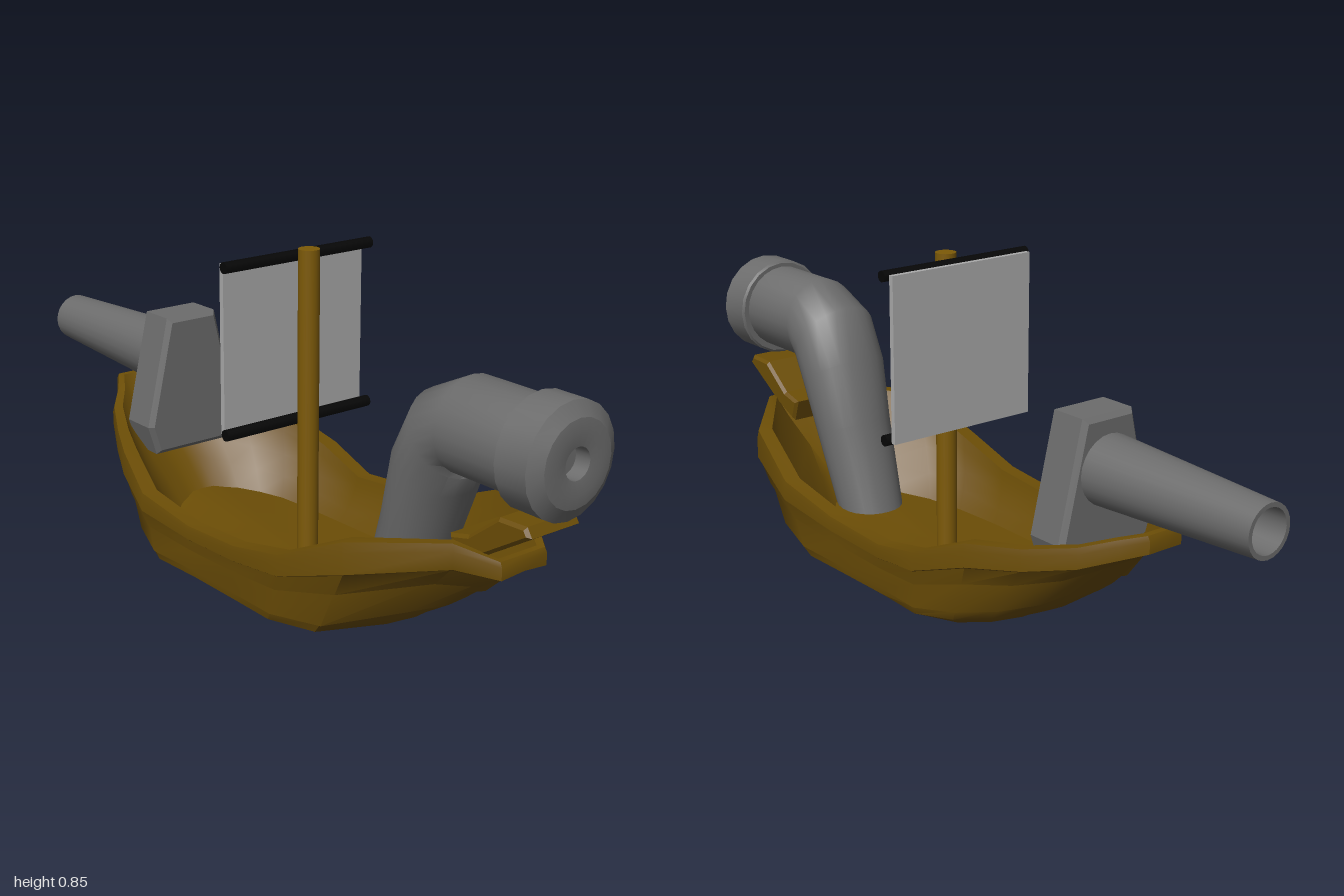
import * as THREE from 'three';
import { toCreasedNormals } from 'three/addons/utils/BufferGeometryUtils.js';

const material = (color) => new THREE.MeshStandardMaterial({ color, side: THREE.DoubleSide });
const GREY = material(0x6c6c6c);
const CLOTH = material(0xaaaaaa);
const WOOD = material(0x6b4d06);
const MAST_WOOD = material(0x7d5a08);
const BLACK = material(0x060606);
const { lerp, degToRad } = THREE.MathUtils;

function part(group, name, geometry, mat, x = 0, y = 0, z = 0) {
  const mesh = new THREE.Mesh(geometry, mat);
  mesh.name = name;
  mesh.position.set(x, y, z);
  group.add(mesh);
}

// Skins closed rings, each counter-clockwise seen from the first one's outer side
function loft(rings, crease) {
  const n = rings[0].length;
  const index = [];
  for (let i = 0; i < rings.length - 1; i++) {
    for (let j = 0; j < n; j++) {
      const k = (j + 1) % n;
      const a = i * n + j, b = i * n + k, c = a + n, d = b + n;
      index.push(a, c, b, b, c, d);
    }
  }
  const g = new THREE.BufferGeometry().setFromPoints(rings.flat());
  g.setIndex(index);
  return toCreasedNormals(g, crease);
}

// Lathe whose axis lies along z; profile points are [radius, z]
function turned(profile, sides) {
  const g = new THREE.LatheGeometry(profile.map(([r, z]) => new THREE.Vector2(r, z)), sides);
  return toCreasedNormals(g.rotateX(Math.PI / 2), 0.4);
}

// Extrudes an outline to a depth centred on its own plane
function slab(points, depth, bevel) {
  const shape = new THREE.Shape(points.map(([x, y]) => new THREE.Vector2(x, y)));
  const g = new THREE.ExtrudeGeometry(shape, {
    depth: depth - 2 * bevel, bevelThickness: bevel, bevelSize: bevel, bevelOffset: -bevel, bevelSegments: 1,
  });
  return g.translate(0, 0, bevel - depth / 2);
}

// Half the hull from bow to stern: rail x, y, z, then the bottom's x, y, z, then the planks' sag
const HULL = [
  [0, 0.30, 0.86, 0, 0.035, 0.53, 1],
  [0.07, 0.30, 0.86, 0.04, 0.034, 0.53, 1.15],
  [0.13, 0.33, 0.77, 0.10, 0.03, 0.50, 1.5],
  [0.285, 0.31, 0.58, 0.19, 0.012, 0.40, 2],
  [0.323, 0.225, 0.39, 0.22, 0.006, 0.29, 1.8],
  [0.308, 0.18, 0.20, 0.235, 0.002, 0.15, 1.6],
  [0.30, 0.165, 0, 0.235, 0, 0, 1.6],
  [0.323, 0.205, -0.17, 0.22, 0.006, -0.13, 1.8],
  [0.28, 0.265, -0.32, 0.20, 0.012, -0.22, 1.8],
  [0.215, 0.275, -0.45, 0.16, 0.02, -0.28, 1.6],
  [0.15, 0.30, -0.57, 0.11, 0.03, -0.32, 1.4],
  [0.09, 0.325, -0.64, 0.07, 0.035, -0.34, 1.2],
  [0.05, 0.345, -0.70, 0.04, 0.04, -0.355, 1],
  [0, 0.345, -0.70, 0, 0.04, -0.36, 1],
];
// Overlapping planks from bottom to rail: share of the way across, up and along
const PLANKS = [
  [0, 0, 0], [0.42, 0.14, 0.14], [0.7, 0.28, 0.28], [0.76, 0.42, 0.42], [0.8, 0.42, 0.46],
  [0.84, 0.72, 0.74], [0.88, 0.72, 0.78], [0.95, 0.85, 0.97], [1, 0.86, 1], [1, 0.96, 1], [0.97, 1, 0.98],
];
// Hollow inside from rail to floor, in the same shares
const INSIDE = [[0.96, 1, 0.93], [0.85, 0.8, 0.76], [0.6, 0.5, 0.45], [0.3, 0.25, 0.2], [0, 0, 0]];

// One level of the hull, going round from stern to bow and back
function hullRing([across, up, along], inside) {
  const width = inside ? 0.87 : 1;
  const lift = inside ? 0.045 * (1 - up) : 0;
  const half = HULL.map(([rx, ry, rz, bx, by, bz, sag]) => new THREE.Vector3(
    lerp(bx, rx, across) * width,
    lerp(by, ry, inside ? up : up ** sag) + lift,
    lerp(bz, rz, along),
  ));
  const mirrored = half.slice(1, -1).map((p) => new THREE.Vector3(-p.x, p.y, p.z));
  return [...half.reverse(), ...mirrored];
}

function hullGeometry() {
  const centre = (y) => Array.from({ length: HULL.length * 2 - 2 }, () => new THREE.Vector3(0, y, 0.08));
  return loft([
    centre(0),
    ...PLANKS.map((level) => hullRing(level, false)),
    ...INSIDE.map((level) => hullRing(level, true)),
    centre(0.045),
  ], 0.65);
}

// Bent pipe sections: z, y, tilt in degrees, half-width, radius
const BEND = [
  [0.92, 0.555, 0, 0.116, 0.116],
  [0.68, 0.555, 0, 0.116, 0.116],
  [0.62, 0.52, 35, 0.123, 0.112],
  [0.575, 0.43, 60, 0.122, 0.10],
  [0.53, 0.28, 70, 0.108, 0.09],
  [0.455, 0.058, 90, 0.09, 0.09],
];

function pipeRing([z, y, degrees, rx, r]) {
  const tilt = degToRad(degrees);
  return Array.from({ length: 24 }, (_, i) => {
    const a = (i / 24) * Math.PI * 2;
    const up = r * Math.sin(a);
    return new THREE.Vector3(rx * Math.cos(a), y + up * Math.cos(tilt), z - up * Math.sin(tilt));
  });
}

export function createModel() {
  const model = new THREE.Group();
  model.name = 'boat';

  // Planked hull and bow post
  part(model, 'hull', hullGeometry(), WOOD);
  const post = slab([
    [-0.945, 0.385], [-0.80, 0.295], [-0.72, 0.26], [-0.70, 0.32], [-0.76, 0.335], [-0.85, 0.405], [-0.93, 0.408],
  ], 0.16, 0.008);
  part(model, 'bowPost', post.rotateY(Math.PI / 2), WOOD);

  // Mast, yards and sail
  part(model, 'mast', new THREE.CylinderGeometry(0.027, 0.027, 0.815, 20), MAST_WOOD, 0, 0.44, 0.105);
  for (const [name, y] of [['upperYard', 0.825], ['lowerYard', 0.405]]) {
    const yard = new THREE.CylinderGeometry(0.0145, 0.0145, 0.456, 12).rotateZ(Math.PI / 2);
    part(model, name, yard, BLACK, 0, y, 0.065);
  }
  part(model, 'sail', new THREE.BoxGeometry(0.434, 0.43, 0.014), CLOTH, 0, 0.615, 0.041);

  // Front bent pipe with a stepped collar
  const frontPipe = new THREE.Group();
  frontPipe.name = 'frontPipe';
  model.add(frontPipe);
  part(frontPipe, 'bentPipe', loft(BEND.map(pipeRing), 0.7), GREY);
  const collar = turned([
    [0, 0.88], [0.13, 0.88], [0.136, 0.885], [0.136, 0.975], [0.102, 0.996],
    [0.072, 1], [0.038, 0.995], [0.038, 0.955], [0, 0.955],
  ], 20);
  part(frontPipe, 'collar', collar, GREY, 0, 0.552, 0);

  // Stern block with a hollow tapered pipe
  const sternPipe = new THREE.Group();
  sternPipe.name = 'sternPipe';
  model.add(sternPipe);
  const block = slab([
    [-0.12, 0.2], [0.12, 0.2], [0.145, 0.28], [0.077, 0.575], [-0.077, 0.575], [-0.145, 0.28],
  ], 0.12, 0.012);
  part(sternPipe, 'block', block, GREY, 0, 0, -0.45);
  const barrel = turned([
    [0, -0.9], [0.052, -0.9], [0.054, -1], [0.065, -1], [0.089, -0.5], [0, -0.5],
  ], 24);
  part(sternPipe, 'taperedPipe', barrel, GREY, 0, 0.44, 0);

  return model;
}
